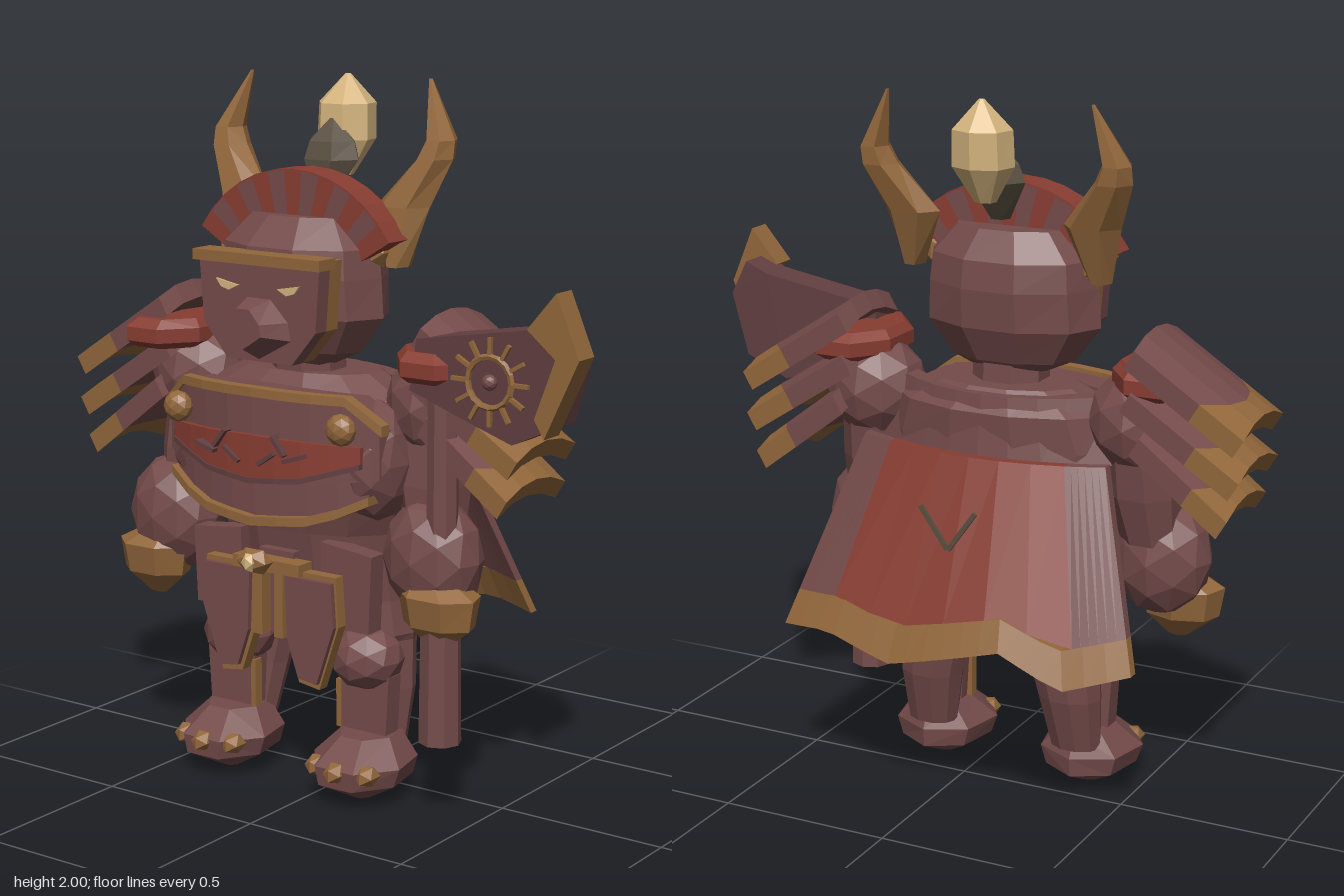
import * as THREE from 'three';

const mat = (name, color) => {
  const m = new THREE.MeshStandardMaterial({ color });
  m.name = name;
  return m;
};
const HIDE = mat('hide', 0x744b4a), PLATE = mat('dark plate', 0x623f40), RED = mat('red cloth', 0x883d32),
  GOLD = mat('old gold', 0x92673b), CREAM = mat('cream', 0xd4b47e), OLIVE = mat('dark olive', 0x5a4f41);

// faceted mesh added to a parent
function add(parent, name, geo, material, x = 0, y = 0, z = 0) {
  const g = geo.index ? geo.toNonIndexed() : geo;
  g.computeVertexNormals();
  const mesh = new THREE.Mesh(g, material);
  mesh.name = name;
  mesh.position.set(x, y, z);
  parent.add(mesh);
  return mesh;
}
const box = (w, h, d) => new THREE.BoxGeometry(w, h, d);
const ball = (rx, ry, rz, detail = 1) => new THREE.IcosahedronGeometry(1, detail).scale(rx, ry, rz);

// rings from bottom to top: [y, centreX, centreZ, radiusX, radiusZ]
function loft(rings, n = 8) {
  const g = new THREE.CylinderGeometry(1, 1, 1, n, rings.length - 1);
  g.rotateY(Math.PI / n);
  const p = g.attributes.position;
  for (let i = 0; i < p.count; i++) {
    const [y, cx, cz, rx, rz] = rings[Math.round((p.getY(i) + 0.5) * (rings.length - 1))];
    p.setXYZ(i, cx + p.getX(i) * rx, y, cz + p.getZ(i) * rz);
  }
  return g;
}
// bent slab: fn maps u (-1..1), v (0..1), w (0..1) to a point
function slab(nu, fn) {
  const g = new THREE.BoxGeometry(2, 1, 1, nu, 1, 1), p = g.attributes.position;
  for (let i = 0; i < p.count; i++) p.setXYZ(i, ...fn(p.getX(i), p.getY(i) + 0.5, p.getZ(i) + 0.5));
  return g;
}
function extrude(points, depth) {
  const s = new THREE.Shape(points.map(([x, y]) => new THREE.Vector2(x, y)));
  return new THREE.ExtrudeGeometry(s, { depth, bevelEnabled: false });
}
const scaled = (pts, k, cx, cy) => pts.map(([x, y]) => [cx + (x - cx) * k, cy + (y - cy) * k]);
const lerp = THREE.MathUtils.lerp;
const along = (table, x) => {
  let i = 0;
  while (i < table.length - 2 && x > table[i + 1][0]) i++;
  const [[x0, y0], [x1, y1]] = [table[i], table[i + 1]];
  return lerp(y0, y1, (x - x0) / (x1 - x0));
};

// everything that exists on both sides, written for the +x side
function buildSide(side) {
  add(side, 'horn', loft([[1.5, 0.285, 0.045, 0.03, 0.045], [1.66, 0.272, 0.005, 0.085, 0.06],
    [1.79, 0.35, -0.035, 0.055, 0.06], [1.84, 0.362, -0.045, 0.042, 0.052], [2, 0.305, -0.075, 0.005, 0.006]], 6), GOLD);
  add(side, 'hornSocket', ball(0.045, 0.05, 0.045, 0), GOLD, 0.235, 1.54, 0.08);
  add(side, 'eye', extrude([[0.142, 1.464], [0.066, 1.45], [0.098, 1.434], [0.125, 1.442]], 0.008), CREAM, 0, 0, 0.3);

  // arm
  add(side, 'shoulder', ball(0.15, 0.15, 0.135), HIDE, 0.41, 1.13, 0.04);
  add(side, 'upperArm', loft([[0.78, 0.43, 0.08, 0.085, 0.08], [0.92, 0.415, 0.06, 0.105, 0.1], [1.08, 0.41, 0.04, 0.1, 0.1]]), HIDE);
  add(side, 'forearm', ball(0.148, 0.175, 0.118), HIDE, 0.45, 0.725, 0.115);
  add(side, 'fist', loft([[0.487, 0.49, 0.155, 0.03, 0.02], [0.55, 0.497, 0.155, 0.11, 0.075],
    [0.635, 0.497, 0.155, 0.125, 0.09], [0.67, 0.475, 0.15, 0.08, 0.06]], 7), GOLD);

  // shoulder slats: arched plates with gold ends
  const slats = [[0.42, 1.35, 0.735, 1.145], [0.41, 1.23, 0.725, 1.025], [0.44, 1.11, 0.695, 0.915]];
  slats.forEach(([x0, y0, x1, y1]) => {
    const edge = (u) => lerp(0.84, 0.6, u * u);
    const piece = (name, a, b, m) => add(side, name, slab(4, (u, v, w) => {
      const t = lerp(a(u), b(u), w);
      return [lerp(x0, x1, t) + v * 0.03, lerp(y0, y1, t) + v * 0.05 - 0.035 * u * u, 0.035 - u * 0.15];
    }), m);
    piece('shoulderSlat', () => 0, edge, HIDE);
    piece('slatTip', edge, () => 1, GOLD);
  });
  add(side, 'shoulderPad', loft([[1.22, 0.47, 0.065, 0.11, 0.155], [1.24, 0.473, 0.065, 0.142, 0.185],
    [1.28, 0.473, 0.065, 0.142, 0.185], [1.305, 0.465, 0.065, 0.11, 0.155]]), RED);

  // chest boss and flank plate
  add(side, 'chestBoss', ball(0.045, 0.045, 0.035), GOLD, 0.28, 1.09, 0.31);
  add(side, 'flank', ball(0.1, 0.17, 0.13), HIDE, 0.29, 0.98, 0.15);

  // leg
  add(side, 'leg', loft([[0.14, 0.23, 0.04, 0.075, 0.06], [0.3, 0.22, 0.015, 0.095, 0.078], [0.44, 0.2, 0.005, 0.11, 0.085],
    [0.46, 0.195, 0.01, 0.12, 0.105], [0.56, 0.175, 0.005, 0.13, 0.12], [0.68, 0.16, 0.02, 0.14, 0.13]], 10), HIDE);
  add(side, 'knee', ball(0.11, 0.095, 0.1), HIDE, 0.225, 0.4, 0.11);
  add(side, 'shinGuard', extrude([[0.16, 0.19], [0.31, 0.19], [0.32, 0.36], [0.15, 0.36]], 0.06), HIDE, 0, 0, 0.08);
  add(side, 'shinTrim', box(0.016, 0.14, 0.03), GOLD, 0.152, 0.26, 0.13);
  add(side, 'foot', loft([[0, 0.235, 0.14, 0.025, 0.03], [0.06, 0.235, 0.14, 0.13, 0.155],
    [0.115, 0.235, 0.14, 0.15, 0.16], [0.185, 0.235, 0.11, 0.085, 0.1]], 7), HIDE);
  for (const dx of [-0.085, 0, 0.085])
    add(side, 'claw', ball(0.034, 0.032, 0.045, 0), GOLD, 0.235 + dx, 0.105, 0.272 - Math.abs(dx) * 0.35);

  // tasset and strap
  const flap = [[0.225, 0.66], [0.05, 0.66], [0.058, 0.46], [0.1, 0.34], [0.17, 0.33], [0.235, 0.52]].reverse();
  add(side, 'tassetTrim', extrude(flap, 0.035), GOLD, 0, 0, 0.225);
  add(side, 'tasset', extrude(scaled(flap, 0.9, 0.165, 0.51), 0.035), HIDE, 0, 0, 0.24);
  add(side, 'beltStrap', box(0.03, 0.2, 0.04), GOLD, 0.036, 0.56, 0.25);
  add(side, 'hipPlate', extrude([[0.14, 0.5], [0.3, 0.5], [0.31, 0.72], [0.14, 0.74]], 0.06), HIDE, 0, 0, 0.15);
}

function buildCore(body) {
  // torso, hips, neck, head
  add(body, 'torso', loft([[0.76, 0, 0.06, 0.3, 0.18], [0.88, 0, 0.07, 0.36, 0.2], [1.04, 0, 0.07, 0.38, 0.2],
    [1.14, 0, 0.05, 0.34, 0.185], [1.2, 0, 0.05, 0.22, 0.13]], 12), HIDE);
  add(body, 'hips', loft([[0.48, 0, 0.07, 0.18, 0.08], [0.56, 0, 0.025, 0.29, 0.148], [0.8, 0, 0.045, 0.31, 0.168]], 10), HIDE);
  add(body, 'backMantle', slab(8, (u, v, w) => [u * (0.36 - 0.05 * v), 1.01 + 0.18 * v, -0.14 + 0.025 * v + 0.12 * u * u + 0.06 * w]), HIDE);
  add(body, 'neck', loft([[1.15, 0, 0.07, 0.11, 0.1], [1.3, 0, 0.08, 0.11, 0.1]]), HIDE);
  add(body, 'head', loft([[1.215, 0, 0.09, 0.09, 0.07], [1.26, 0, 0.09, 0.19, 0.12], [1.36, 0, 0.09, 0.265, 0.17],
    [1.47, 0, 0.09, 0.258, 0.18], [1.55, 0, 0.09, 0.25, 0.17], [1.63, 0, 0.08, 0.17, 0.11]], 10), HIDE);

  // face mask with gold backing and snout
  const mask = [[-0.11, 1.245], [0.11, 1.245], [0.19, 1.34], [0.205, 1.53], [-0.205, 1.53], [-0.19, 1.34]];
  add(body, 'maskBacking', extrude(mask, 0.052), GOLD, 0, 0, 0.2);
  add(body, 'mask', extrude(mask, 0.05), HIDE, 0, 0, 0.251);
  add(body, 'browBar', box(0.43, 0.03, 0.075), GOLD, 0, 1.525, 0.28);
  const nose = extrude([[0, 1.25], [0.11, 1.31], [0.1, 1.36], [0.04, 1.42], [-0.04, 1.42], [-0.1, 1.36], [-0.11, 1.31]], 0.07);
  const np = nose.attributes.position;
  for (let i = 0; i < np.count; i++) if (np.getZ(i) > 0.01) np.setXYZ(i, np.getX(i) * 0.55, 1.36 + (np.getY(i) - 1.36) * 0.65, 0.075);
  add(body, 'snout', nose, HIDE, 0, 0, 0.298);

  // crest fan in alternating stripes
  const N = 13, span = 2.04;
  for (let i = 0; i < N; i++) {
    const s = slab(1, (u, v, w) => {
      const a = ((i + (u + 1) / 2) / N - 0.5) * span, r = 0.25 + 0.122 * v;
      return [r * Math.sin(a), 1.38 + r * Math.cos(a), 0.05 + 0.095 * w];
    });
    add(body, 'crestStripe', s, i % 2 ? HIDE : RED);
  }
  add(body, 'crestCap', slab(12, (u, v, w) => {
    const a = u * span / 2, r = 0.37 + 0.006 * v;
    return [r * Math.sin(a), 1.38 + r * Math.cos(a), 0.05 + 0.095 * w];
  }), RED);

  // faceted topknot
  add(body, 'topknotBase', loft([[1.66, 0, 0, 0.03, 0.03], [1.77, 0, -0.035, 0.092, 0.075], [1.82, 0, -0.04, 0.075, 0.065],
    [1.885, 0, -0.045, 0.006, 0.006]], 6), OLIVE);
  add(body, 'topknot', loft([[1.72, 0, -0.09, 0.03, 0.03], [1.82, 0, -0.105, 0.088, 0.08], [1.92, 0, -0.11, 0.085, 0.08],
    [2, 0, -0.115, 0.008, 0.008]], 7), CREAM);

  // bowed chest armour: half width, depth, and edges [x fraction, y]
  const chest = (name, hw, zf, depth, top, bottom, m) => add(body, name, slab(8, (u, v, w) => {
    const x = u * hw, a = Math.abs(u);
    return [x, lerp(along(bottom, a), along(top, a), v), zf - 0.7 * x * x - depth * (1 - w)];
  }), m);
  chest('breastPlate', 0.36, 0.335, 0.12, [[0, 1.17], [0.75, 1.16], [1, 1.08]], [[0, 0.9], [1, 0.95]], HIDE);
  chest('bellyPlate', 0.33, 0.325, 0.12, [[0, 0.95], [1, 1]], [[0, 0.81], [0.6, 0.83], [1, 0.9]], HIDE);
  chest('chestCollar', 0.37, 0.345, 0.035, [[0, 1.18], [0.75, 1.175], [1, 1.1]], [[0, 1.155], [0.75, 1.15], [1, 1.07]], GOLD);
  chest('chestSash', 0.32, 0.35, 0.03, [[0, 1.05], [1, 1.04]], [[0, 0.925], [0.5, 0.94], [1, 0.99]], RED);
  chest('sashTrim', 0.32, 0.355, 0.03, [[0, 0.93], [0.5, 0.945], [1, 0.995]], [[0, 0.915], [0.5, 0.93], [1, 0.98]], PLATE);
  chest('bellyTrim', 0.34, 0.35, 0.06, [[0, 0.82], [0.6, 0.84], [1, 0.905]], [[0, 0.795], [0.6, 0.815], [1, 0.88]], GOLD);
  for (const s of [-1, 1])
    [[0.06, 0.99, 0.6], [0.1, 1.03, -0.9], [0.15, 1.0, 0.3]].forEach(([x, y, r]) => {
      add(body, 'sashMark', box(0.065, 0.011, 0.03), PLATE, s * x, y, 0.345).rotation.z = s * r;
    });

  // belt front
  add(body, 'loinPanel', box(0.12, 0.24, 0.03), HIDE, 0, 0.58, 0.215);
  add(body, 'beltBar', box(0.23, 0.035, 0.06), GOLD, 0, 0.665, 0.25);
  add(body, 'buckle', ball(0.06, 0.04, 0.035, 0), GOLD, 0, 0.69, 0.33);
  add(body, 'buckleGem', ball(0.022, 0.03, 0.02, 0), CREAM, 0, 0.69, 0.355);

  // cape in coloured panels with a ragged hem
  const hem = [[-1, 0.52], [-0.65, 0.46], [-0.33, 0.55], [0.3, 0.46], [0.7, 0.51], [1, 0.49]];
  const cape = (name, u0, u1, v0, v1, m) => add(body, name, slab(6, (u, v, w) => {
    const U = lerp(u0, u1, (u + 1) / 2), t = lerp(v1, v0, v);
    return [U * (0.37 + 0.165 * t), lerp(1.03, along(hem, U), t), -0.18 - 0.185 * t + 0.085 * U * U + 0.03 * w - 0.01];
  }), m);
  cape('capeCentre', -0.72, 0.72, 0, 0.82, RED);
  cape('capeSide', -1, -0.72, 0, 0.82, HIDE);
  cape('capeSide', 0.72, 1, 0, 0.82, HIDE);
  [[-1, -0.33], [-0.33, 0.3], [0.3, 1]].forEach(([a, b]) => cape('capeHem', a, b, 0.82, 1, GOLD));
  for (const s of [-1, 1]) add(body, 'capeChain', box(0.013, 0.14, 0.009), OLIVE, s * 0.042, 0.86, -0.315).rotation.z = -s * 0.62;
}

function buildAxe(axe) {
  add(axe, 'axeShaft', new THREE.CylinderGeometry(0.055, 0.06, 0.42, 8), HIDE, 0.395, 0.43, 0.16);
  add(axe, 'axeUpperShaft', new THREE.CylinderGeometry(0.042, 0.045, 0.75, 8), HIDE, 0.395, 0.95, 0.155);
  add(axe, 'axeBlade', extrude([[0.32, 1.2], [0.46, 1.15], [0.64, 1.09], [0.77, 1.15], [0.82, 1.33], [0.77, 1.43],
    [0.7, 1.4], [0.34, 1.34]], 0.105), PLATE, 0, 0, 0.1);
  add(axe, 'axeEdge', extrude([[0.77, 1.13], [0.87, 1.345], [0.8, 1.51], [0.715, 1.41], [0.8, 1.34], [0.74, 1.18]], 0.075), GOLD, 0, 0, 0.185);
  // sun emblem
  add(axe, 'sunRing', new THREE.TorusGeometry(0.068, 0.009, 5, 16), GOLD, 0.575, 1.25, 0.212);
  add(axe, 'sunBoss', ball(0.022, 0.022, 0.02), HIDE, 0.575, 1.25, 0.212);
  for (let i = 0; i < 12; i++) {
    const a = i * Math.PI / 6;
    add(axe, 'sunRay', box(0.05, 0.011, 0.012), GOLD, 0.575 + 0.093 * Math.cos(a), 1.25 + 0.093 * Math.sin(a), 0.21).rotation.z = a;
  }
}

export function createModel() {
  const model = new THREE.Group();
  model.name = 'hornedWarrior';
  const part = (name, parent, build) => {
    const g = new THREE.Group();
    g.name = name;
    parent.add(g);
    build(g);
    return g;
  };
  const body = part('body', model, buildCore);
  body.position.x = -0.11;
  part('leftSide', body, buildSide);
  part('rightSide', body, buildSide).scale.x = -1;
  part('axe', model, buildAxe);
  return model;
}
